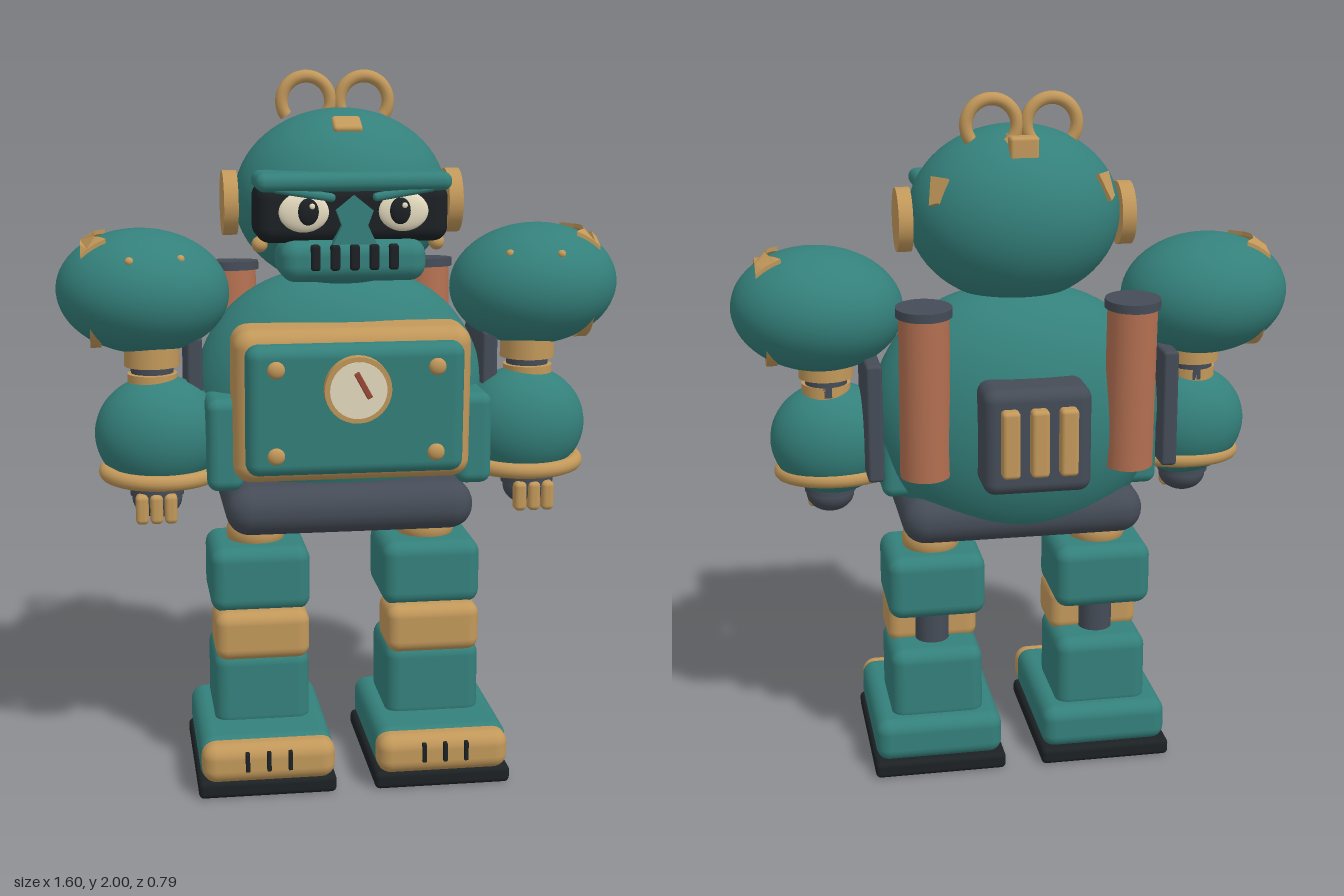
import * as THREE from 'three';
import { RoundedBoxGeometry } from 'three/addons/geometries/RoundedBoxGeometry.js';

const mat = (color) => new THREE.MeshStandardMaterial({ color });
const TEAL = mat(0x34807b), GOLD = mat(0xc2985a), DARK = mat(0x454c57), BLACK = mat(0x1c2124);
const COPPER = mat(0xb57152), CREAM = mat(0xe6dcc0), RED = mat(0x9a4936);

function add(parent, name, geo, material, x, y, z) {
  const m = new THREE.Mesh(geo, material);
  m.name = name;
  m.position.set(x, y, z);
  parent.add(m);
  return m;
}

// rounded box given by its extents
function box(parent, name, material, [x0, x1], [y0, y1], [z0, z1], r = 0.03) {
  const w = x1 - x0, h = y1 - y0, d = z1 - z0;
  const geo = new RoundedBoxGeometry(w, h, d, 4, Math.min(r, w * 0.49, h * 0.49, d * 0.49));
  return add(parent, name, geo, material, (x0 + x1) / 2, (y0 + y1) / 2, (z0 + z1) / 2);
}

function ball(parent, name, material, x, y, z, rx, ry = rx, rz = rx) {
  const geo = new THREE.SphereGeometry(1, 48, 32).scale(rx, ry, rz);
  return add(parent, name, geo, material, x, y, z);
}

// cylinder along 'x', 'y' or 'z'
function rod(parent, name, material, x, y, z, r, len, axis = 'y', r2 = r) {
  const geo = new THREE.CylinderGeometry(r, r2, len, 32);
  if (axis === 'x') geo.rotateZ(Math.PI / 2);
  if (axis === 'z') geo.rotateX(Math.PI / 2);
  return add(parent, name, geo, material, x, y, z);
}

function flatShape(points, depth) {
  const shape = new THREE.Shape(points.map(([a, b]) => new THREE.Vector2(a, b)));
  return new THREE.ExtrudeGeometry(shape, { depth, bevelEnabled: false });
}

function buildHead() {
  const g = new THREE.Group();
  g.name = 'head';
  ball(g, 'skull', TEAL, 0, 1.65, 0.025, 0.3, 0.25, 0.245);
  box(g, 'visor', BLACK, [-0.262, 0.262], [1.55, 1.71], [0.1, 0.285], 0.04);
  box(g, 'brow', TEAL, [-0.265, 0.265], [1.69, 1.74], [0.14, 0.315], 0.024);
  box(g, 'jaw', TEAL, [-0.2, 0.2], [1.445, 1.56], [0.1, 0.305], 0.045);
  add(g, 'nose', flatShape([[-0.06, 1.55], [0.06, 1.55], [0.035, 1.6], [0.05, 1.64], [0, 1.68], [-0.05, 1.64], [-0.035, 1.6]], 0.05),
    TEAL, 0, 0, 0.26);
  for (let i = -2; i <= 2; i++) box(g, 'mouthSlot', BLACK, [i * 0.053 - 0.013, i * 0.053 + 0.013], [1.48, 1.55], [0.29, 0.315], 0.008);
  for (const s of [-1, 1]) {
    ball(g, 'eye', CREAM, s * 0.135, 1.635, 0.28, 0.07, 0.055, 0.02);
    ball(g, 'pupil', BLACK, s * 0.125, 1.637, 0.295, 0.029, 0.036, 0.012);
    ball(g, 'eyeGlint', CREAM, s * 0.125 + 0.01, 1.652, 0.304, 0.008, 0.008, 0.005);
    box(g, 'eyelid', TEAL, [s * 0.135 - 0.085, s * 0.135 + 0.085], [1.675, 1.697], [0.26, 0.305], 0.01).rotation.z = s * 0.16;
    ball(g, 'cheekStud', GOLD, s * 0.245, 1.54, 0.185, 0.022);
    rod(g, 'ear', GOLD, s * 0.315, 1.64, 0.03, 0.09, 0.04, 'x');
    // small worn plate behind each ear
    const chip = add(g, 'headPlate', flatShape([[-0.03, 0.04], [0.03, 0.04], [0.018, -0.03], [-0.01, -0.04]], 0.012), GOLD, s * 0.232, 1.735, -0.1);
    chip.lookAt(s * 0.232 + s * 2.57, 1.735 + 1.36, -0.1 - 2.08);
    // curled antenna
    const curl = add(g, 'antennaLoop', new THREE.TorusGeometry(0.07, 0.018, 12, 40, 4.6), GOLD, s * 0.083, 1.913, -0.09);
    curl.rotation.z = s > 0 ? -0.6 : -0.86;
  }
  box(g, 'antennaBase', GOLD, [-0.04, 0.04], [1.82, 1.885], [-0.145, -0.05], 0.01);
  box(g, 'foreheadPlate', GOLD, [-0.04, 0.04], [1.845, 1.87], [0.115, 0.185], 0.01).rotation.x = 0.45;
  return g;
}

function buildTorso() {
  const g = new THREE.Group();
  g.name = 'torso';
  // slightly squared-off egg body
  const geo = new THREE.SphereGeometry(1, 56, 40);
  const p = geo.attributes.position;
  for (let i = 0; i < p.count; i++) {
    const y = p.getY(i), k = Math.pow(Math.max(1 - y * y, 0), -0.08);
    const f = Math.abs(y) > 0.999 ? 1 : k;
    p.setXYZ(i, p.getX(i) * f * 0.42, y * 0.37, p.getZ(i) * f * 0.26);
  }
  geo.computeVertexNormals();
  add(g, 'body', geo, TEAL, 0, 1.08, -0.005);
  box(g, 'belt', DARK, [-0.35, 0.35], [0.73, 0.87], [-0.18, 0.285], 0.068);

  // chest door with gauge
  const chest = new THREE.Group();
  chest.name = 'chestDoor';
  chest.position.set(0, 1.115, 0);
  chest.rotation.x = 0.04;
  g.add(chest);
  box(chest, 'doorFrame', GOLD, [-0.33, 0.33], [-0.215, 0.215], [0.13, 0.305], 0.05);
  box(chest, 'door', TEAL, [-0.3, 0.3], [-0.182, 0.182], [0.2, 0.35], 0.035);
  for (const x of [-0.22, 0.22]) for (const y of [-0.12, 0.12]) ball(chest, 'doorRivet', GOLD, x, y, 0.35, 0.024, 0.024, 0.014);
  rod(chest, 'gaugeRim', GOLD, 0, 0.065, 0.355, 0.092, 0.04, 'z');
  rod(chest, 'gaugeFace', CREAM, 0, 0.065, 0.36, 0.078, 0.04, 'z');
  box(chest, 'gaugeNeedle', RED, [0.004, 0.02], [0.04, 0.12], [0.378, 0.388], 0.003).rotation.z = 0.5;

  for (const s of [-1, 1]) {
    const side = (a, b) => (s > 0 ? [a, b] : [-b, -a]);
    box(g, 'hipBlock', TEAL, side(0.3, 0.4), [0.86, 1.12], [-0.1, 0.25], 0.03);
    box(g, 'sideVent', DARK, side(0.4, 0.445), [0.93, 1.27], [-0.15, 0.1], 0.01);
    // exhaust pipe
    const pipe = new THREE.Group();
    pipe.name = 'exhaustPipe';
    pipe.position.set(s * 0.29, 1.2, -0.2);
    pipe.rotation.x = -0.05;
    g.add(pipe);
    rod(pipe, 'pipe', COPPER, 0, 0, 0, 0.07, 0.48);
    rod(pipe, 'pipeCap', DARK, 0, 0.235, 0, 0.078, 0.025);
  }
  box(g, 'backpack', DARK, [-0.15, 0.15], [0.94, 1.24], [-0.36, -0.2], 0.035);
  for (const x of [-0.08, 0, 0.08]) box(g, 'backpackBar', GOLD, [x - 0.025, x + 0.025], [1.0, 1.19], [-0.393, -0.34], 0.012);
  return g;
}

// left arm, at +x
function buildArm() {
  const g = new THREE.Group();
  ball(g, 'shoulder', TEAL, 0.56, 1.397, 0.03, 0.242, 0.175, 0.212).rotation.z = 0.06;
  // crescent trim on the outer side
  const crescent = [];
  for (let i = 0; i <= 20; i++) { const a = Math.PI * (1 + i / 20); crescent.push([0.14 * Math.cos(a), 0.125 * Math.sin(a)]); }
  for (let i = 19; i > 0; i--) { const a = Math.PI * (1 + i / 20); crescent.push([0.14 * Math.cos(a), 0.055 * Math.sin(a)]); }
  add(g, 'shoulderCrescent', flatShape(crescent, 0.03).rotateY(Math.PI / 2), GOLD, 0.68, 1.365, 0.03);
  // forked plate on top of the shoulder, bent to follow it
  const fork = flatShape([[0.73, -0.06], [0.73, 0.13], [0.66, 0.13], [0.69, 0.09], [0.7, 0.035], [0.69, -0.02], [0.66, -0.06]]
    .flatMap((a, i, all) => [0, 1, 2, 3].map((k) => a.map((v, j) => v + (all[(i + 1) % 7][j] - v) * k / 4))), 0.012);
  const p = fork.attributes.position;
  for (let i = 0; i < p.count; i++) {
    const x = p.getX(i), z = p.getY(i), u = (x - 0.56) / 0.242, v = (z - 0.03) / 0.212;
    p.setXYZ(i, x, 1.407 + 0.175 * Math.sqrt(Math.max(0, 1 - u * u - v * v)) - p.getZ(i) + 0.012, z);
  }
  fork.computeVertexNormals();
  const plate = add(g, 'shoulderPlate', fork, GOLD, 0, 0, 0);
  plate.material = GOLD.clone();
  plate.material.side = THREE.DoubleSide;
  for (const [x, y, z] of [[0.46, 1.5, 0.165], [0.6, 1.5, 0.195]]) ball(g, 'shoulderRivet', GOLD, x, y, z, 0.012);

  // upper arm and elbow
  rod(g, 'armCollar', GOLD, 0.54, 1.225, 0.06, 0.078, 0.07);
  rod(g, 'elbow', DARK, 0.54, 1.18, 0.06, 0.06, 0.08);
  rod(g, 'elbowRing', GOLD, 0.54, 1.15, 0.07, 0.07, 0.04);
  ball(g, 'forearm', TEAL, 0.525, 1.0, 0.08, 0.18, 0.165, 0.145);

  // cuff ring and hand
  const cuff = add(g, 'cuff', new THREE.TorusGeometry(0.155, 0.022, 14, 48).rotateX(Math.PI / 2).scale(1, 1, 0.88), GOLD, 0.52, 0.897, 0.1);
  cuff.rotation.x = 0.06;
  rod(g, 'wrist', DARK, 0.535, 0.86, 0.11, 0.075, 0.06);
  ball(g, 'palm', DARK, 0.535, 0.82, 0.115, 0.07, 0.055, 0.07);
  for (let i = -1; i <= 1; i++) box(g, 'finger', GOLD, [0.54 + i * 0.04 - 0.018, 0.54 + i * 0.04 + 0.018], [0.76, 0.845], [0.15, 0.195], 0.014);
  return g;
}

// left leg, at +x
function buildLeg() {
  const g = new THREE.Group();
  ball(g, 'hip', GOLD, 0.25, 0.69, 0.03, 0.085, 0.07, 0.085);
  box(g, 'thigh', TEAL, [0.105, 0.39], [0.48, 0.67], [-0.105, 0.175], 0.04);
  box(g, 'knee', GOLD, [0.112, 0.382], [0.35, 0.492], [0.03, 0.212], 0.035);
  rod(g, 'kneeJoint', DARK, 0.25, 0.42, 0.03, 0.05, 0.16);
  box(g, 'shin', TEAL, [0.112, 0.385], [0.14, 0.37], [-0.085, 0.195], 0.04);
  box(g, 'foot', TEAL, [0.062, 0.438], [0.04, 0.17], [-0.135, 0.34], 0.04);
  box(g, 'toeCap', GOLD, [0.06, 0.435], [0.05, 0.163], [0.28, 0.38], 0.04);
  for (const x of [0.19, 0.25, 0.31]) box(g, 'toeSlot', BLACK, [x - 0.006, x + 0.006], [0.09, 0.145], [0.37, 0.39], 0.003);
  box(g, 'sole', BLACK, [0.055, 0.445], [0, 0.05], [-0.15, 0.355], 0.015);
  return g;
}

export function createModel() {
  const model = new THREE.Group();
  model.name = 'toyRobot';
  model.add(buildHead(), buildTorso());
  for (const [side, s] of [['left', 1], ['right', -1]]) {
    for (const [part, build] of [['Arm', buildArm], ['Leg', buildLeg]]) {
      const g = build();
      g.name = side + part;
      g.scale.x = s;
      model.add(g);
    }
  }
  return model;
}
